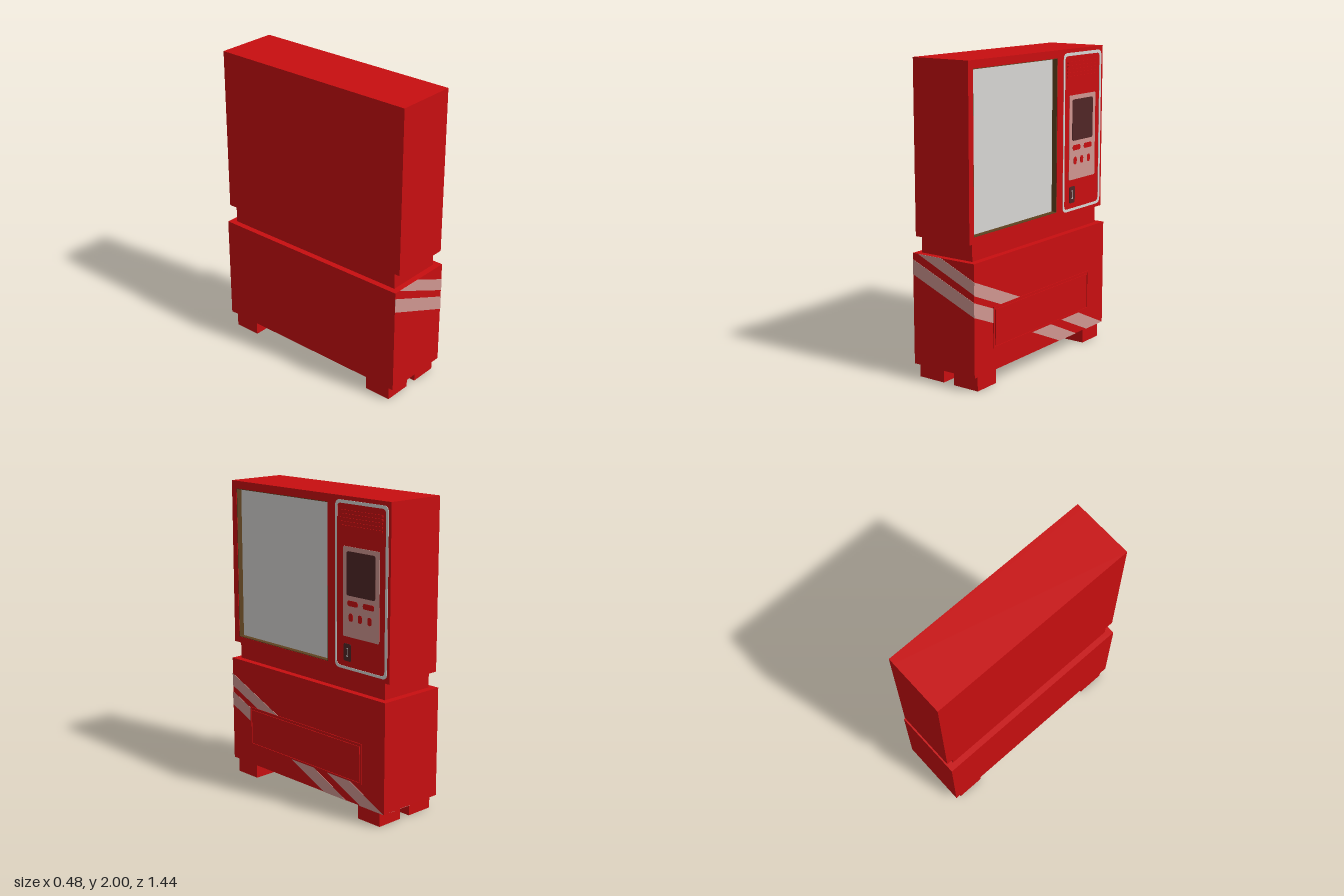
import * as THREE from 'three';

const mat = (name, color, extra = {}) => {
  const m = new THREE.MeshStandardMaterial({ color, ...extra });
  m.name = name;
  return m;
};

export function createModel() {
  const red = mat('red paint', 0xc80e10);
  const grey = mat('light grey', 0xd6d5d3);
  const pink = mat('pale pink', 0xcf9690);
  const dark = mat('dark maroon', 0x502626);
  const olive = mat('brown recess', 0x5e4220);
  const model = new THREE.Group();
  model.name = 'vendingMachine';

  const add = (name, geometry, material) => {
    const mesh = new THREE.Mesh(geometry, material);
    mesh.name = name;
    model.add(mesh);
    return mesh;
  };

  // Box given by its extents
  const block = (name, material, x0, x1, y0, y1, z0, z1) =>
    add(name, new THREE.BoxGeometry(x1 - x0, y1 - y0, z1 - z0), material)
      .position.set((x0 + x1) / 2, (y0 + y1) / 2, (z0 + z1) / 2);

  // Outlines: polygon, and rectangle with rounded corners
  const poly = (pts) => new THREE.Shape(pts.map(([a, b]) => new THREE.Vector2(a, b)));
  const round = (a0, a1, b0, b1, r = 0) => {
    const s = new THREE.Shape();
    if (r === 0) return poly([[a0, b0], [a1, b0], [a1, b1], [a0, b1]]);
    s.moveTo(a0 + r, b0).lineTo(a1 - r, b0).quadraticCurveTo(a1, b0, a1, b0 + r);
    s.lineTo(a1, b1 - r).quadraticCurveTo(a1, b1, a1 - r, b1);
    s.lineTo(a0 + r, b1).quadraticCurveTo(a0, b1, a0, b1 - r);
    s.lineTo(a0, b0 + r).quadraticCurveTo(a0, b0, a0 + r, b0);
    return s;
  };
  const ring = (outer, inner) => {
    outer.holes.push(inner);
    return outer;
  };
  const slab = (shape, depth) =>
    new THREE.ExtrudeGeometry(shape, { depth, bevelEnabled: false, curveSegments: 6 });

  // Plate on the service side (+x); the outline uses (-z, y)
  const plate = (name, material, shape, x, depth = 0.003) =>
    add(name, slab(shape, depth).rotateY(Math.PI / 2).translate(x, 0, 0), material);

  // Main cabinet
  block('upperCabinet', red, -0.21, 0.165, 0.915, 2, -0.72, 0.72);
  block('neck', red, -0.2, 0.19, 0.8, 0.92, -0.67, 0.675);
  block('lowerCabinet', red, -0.24, 0.234, 0.095, 0.805, -0.715, 0.715);
  for (const [x0, x1] of [[-0.23, -0.04], [0.04, 0.225]])
    for (const [z0, z1] of [[-0.67, -0.485], [0.49, 0.675]])
      block('foot', red, x0, x1, 0, 0.1, z0, z1);

  // Cabinet face with the window opening
  plate('cabinetFace', red,
    ring(round(-0.72, 0.72, 0.915, 2), round(-0.675, 0.19, 0.955, 1.95)), 0.165, 0.04);
  plate('windowLining', olive,
    ring(round(-0.676, 0.191, 0.954, 1.951), round(-0.671, 0.186, 0.959, 1.946)), 0.165, 0.038);
  plate('window', grey, round(-0.672, 0.187, 0.958, 1.947), 0.165);

  // Control column
  const face = 0.205;
  plate('controlTrim', grey,
    ring(round(0.257, 0.7, 0.938, 1.975, 0.04), round(0.273, 0.68, 0.955, 1.955, 0.03)), face);
  for (let i = 0; i < 5; i++) {
    const y = 1.813 + i * 0.023;
    plate('ventSlat', red, round(0.302, 0.655, y, y + 0.012), face, 0.005);
  }
  plate('controlPanel', pink, round(0.327, 0.633, 1.145, 1.7, 0.01), face, 0.003);
  plate('display', dark, round(0.358, 0.6, 1.402, 1.672, 0.018), face + 0.003, 0.002);
  for (const [a, b] of [[0.366, 0.455], [0.498, 0.592]])
    plate('wideButton', red, round(a, b, 1.338, 1.372, 0.016), face + 0.003, 0.002);
  for (const a of [0.396, 0.474, 0.555])
    plate('roundButton', red, round(a - 0.017, a + 0.017, 1.244, 1.294, 0.017), face + 0.003, 0.002);
  plate('coinPlate', dark, round(0.334, 0.397, 0.99, 1.1, 0.012), face);
  plate('coinSlot', grey, round(0.363, 0.368, 1.02, 1.072), face + 0.003, 0.001);
  for (const [y, d] of [[1.018, 1], [1.074, -1]])
    plate('slotEnd', grey, round(0.358, 0.373, Math.min(y, y + 0.006 * d),
      Math.max(y, y + 0.006 * d)), face + 0.003, 0.001);

  // Delivery tray: raised rim and inset door
  plate('trayRim', red,
    ring(round(-0.53, 0.525, 0.235, 0.5), round(-0.52, 0.515, 0.245, 0.49)), 0.234, 0.005);
  plate('trayDoor', red, round(-0.51, 0.505, 0.255, 0.48), 0.234, 0.005);

  // Diagonal stripes on the service side
  [
    [[-0.715, 0.61], [-0.455, 0.5], [-0.255, 0.5], [-0.715, 0.695]],
    [[-0.715, 0.475], [-0.53, 0.398], [-0.53, 0.49], [-0.715, 0.567]],
    [[-0.125, 0.235], [0.19, 0.095], [0.385, 0.095], [0.085, 0.235]],
    [[0.205, 0.235], [0.51, 0.095], [0.71, 0.095], [0.41, 0.235]],
  ].forEach((p) => plate('sideStripe', pink, poly(p), 0.234, 0.002));

  // The same stripes wrapped onto the +z end
  [
    [[-0.2, 0.805], [0.235, 0.615], [0.235, 0.695], [-0.02, 0.805]],
    [[-0.24, 0.67], [0.235, 0.475], [0.235, 0.567], [-0.24, 0.765]],
  ].forEach((p) => add('endStripe', slab(poly(p), 0.002).translate(0, 0, 0.715), pink));

  // Stripes wrapped under the base; the outline uses (x, z)
  [
    [[0.235, -0.19], [0.235, -0.385], [0.085, -0.715], [0, -0.715]],
    [[0.235, -0.51], [0.235, -0.71], [0.14, -0.715]],
  ].forEach((p) =>
    add('baseStripe', slab(poly(p), 0.002).rotateX(Math.PI / 2).translate(0, 0.095, 0), pink));

  return model;
}
